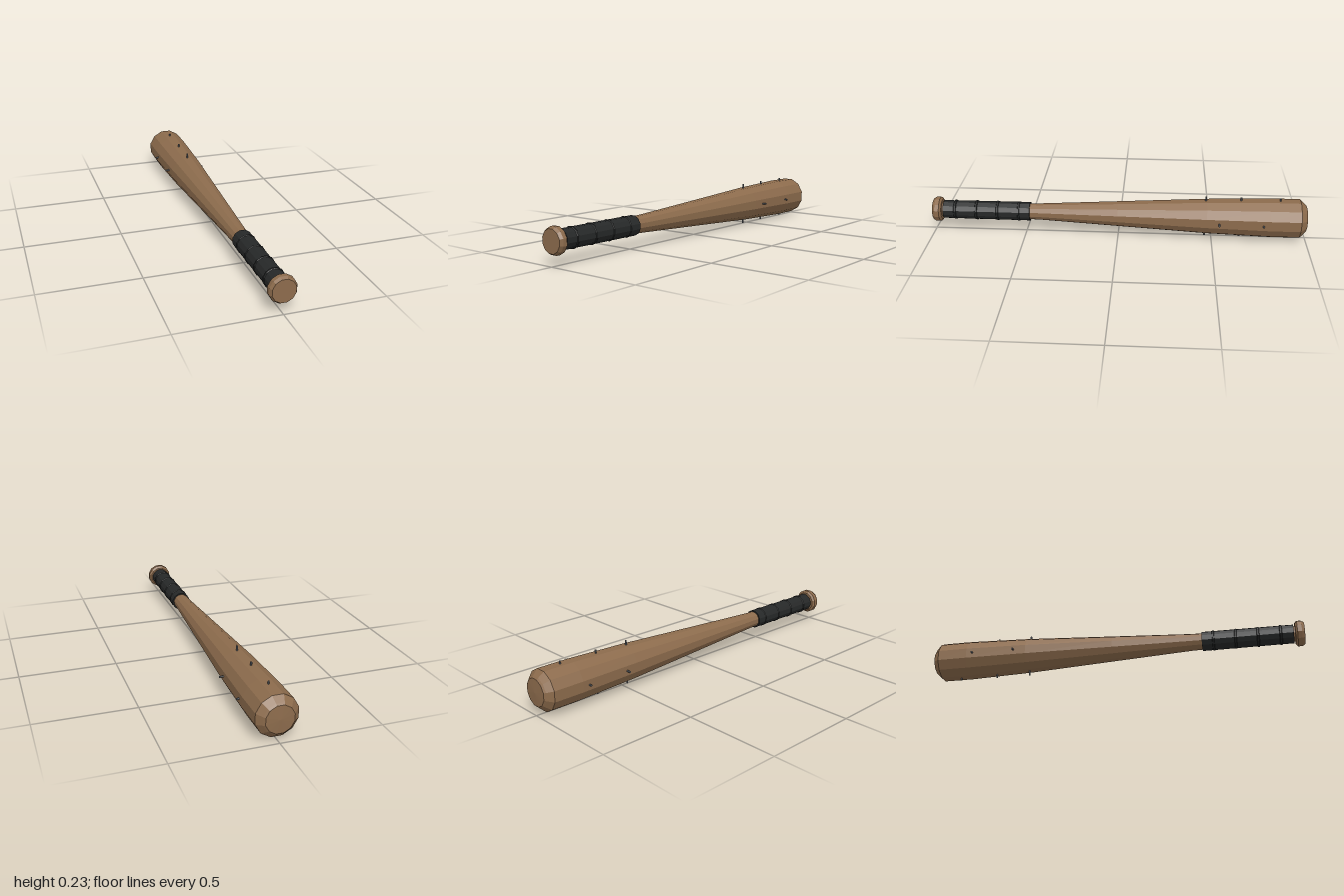
import * as THREE from 'three';

const AXIS_Y = 0.115;
const SIDES = 12;

const wood = new THREE.MeshStandardMaterial({ color: 0x8c6b4c });
wood.name = 'wood';
const tape = new THREE.MeshStandardMaterial({ color: 0x262828 });
tape.name = 'blackTape';
const steel = new THREE.MeshStandardMaterial({ color: 0x666b72 });
steel.name = 'steel';

// Faceted look through unshared corners
function faceted(geometry) {
  const flat = geometry.toNonIndexed();
  flat.computeVertexNormals();
  return flat;
}

// Twelve-sided turned part along z, from [radius, z] pairs with z rising
function turned(name, profile, material) {
  const points = profile.map(([r, z]) => new THREE.Vector2(r, z));
  const geometry = new THREE.LatheGeometry(points, SIDES, Math.PI / SIDES);
  geometry.rotateX(Math.PI / 2);
  const mesh = new THREE.Mesh(faceted(geometry), material);
  mesh.name = name;
  return mesh;
}

export function createModel() {
  const model = new THREE.Group();
  model.name = 'spikedBat';

  const body = new THREE.Group();
  body.name = 'body';
  body.position.y = AXIS_Y;
  model.add(body);

  // Barrel tapering into the handle
  body.add(turned('barrel', [
    [0, -1], [0.07, -0.996], [0.079, -0.988], [0.105, -0.96], [0.105, -0.8],
    [0.094, -0.47], [0.068, 0], [0.045, 0.42], [0.042, 0.55], [0.04, 0.97],
  ], wood));

  // Knob at the handle end
  body.add(turned('knob', [
    [0, 0.953], [0.055, 0.953], [0.067, 0.963], [0.067, 0.985], [0.058, 1], [0, 1],
  ], wood));

  // Tape wrap with raised overlaps
  body.add(turned('gripTape', [
    [0.04, 0.475], [0.051, 0.475], [0.049, 0.945], [0.04, 0.945],
  ], tape));
  [0.535, 0.65, 0.765, 0.88].forEach((z) => {
    body.add(turned('tapeRidge', [
      [0.047, z - 0.009], [0.053, z - 0.004], [0.053, z + 0.004], [0.047, z + 0.009],
    ], tape));
  });

  // Nails: three rows above and below, two rows on each side
  const nailGeometry = faceted(new THREE.CylinderGeometry(0.0048, 0.0048, 0.045, 6));
  function addNail(angle, z) {
    const nail = new THREE.Mesh(nailGeometry, steel);
    const r = 0.115 - 0.0225;
    nail.name = 'nail';
    nail.position.set(-Math.sin(angle) * r, Math.cos(angle) * r, z);
    nail.rotation.z = angle;
    body.add(nail);
  }
  [0, Math.PI].forEach((a) => [-0.465, -0.65, -0.855].forEach((z) => addNail(a, z)));
  [Math.PI / 2, -Math.PI / 2].forEach((a) => [-0.535, -0.765].forEach((z) => addNail(a, z)));

  return model;
}
